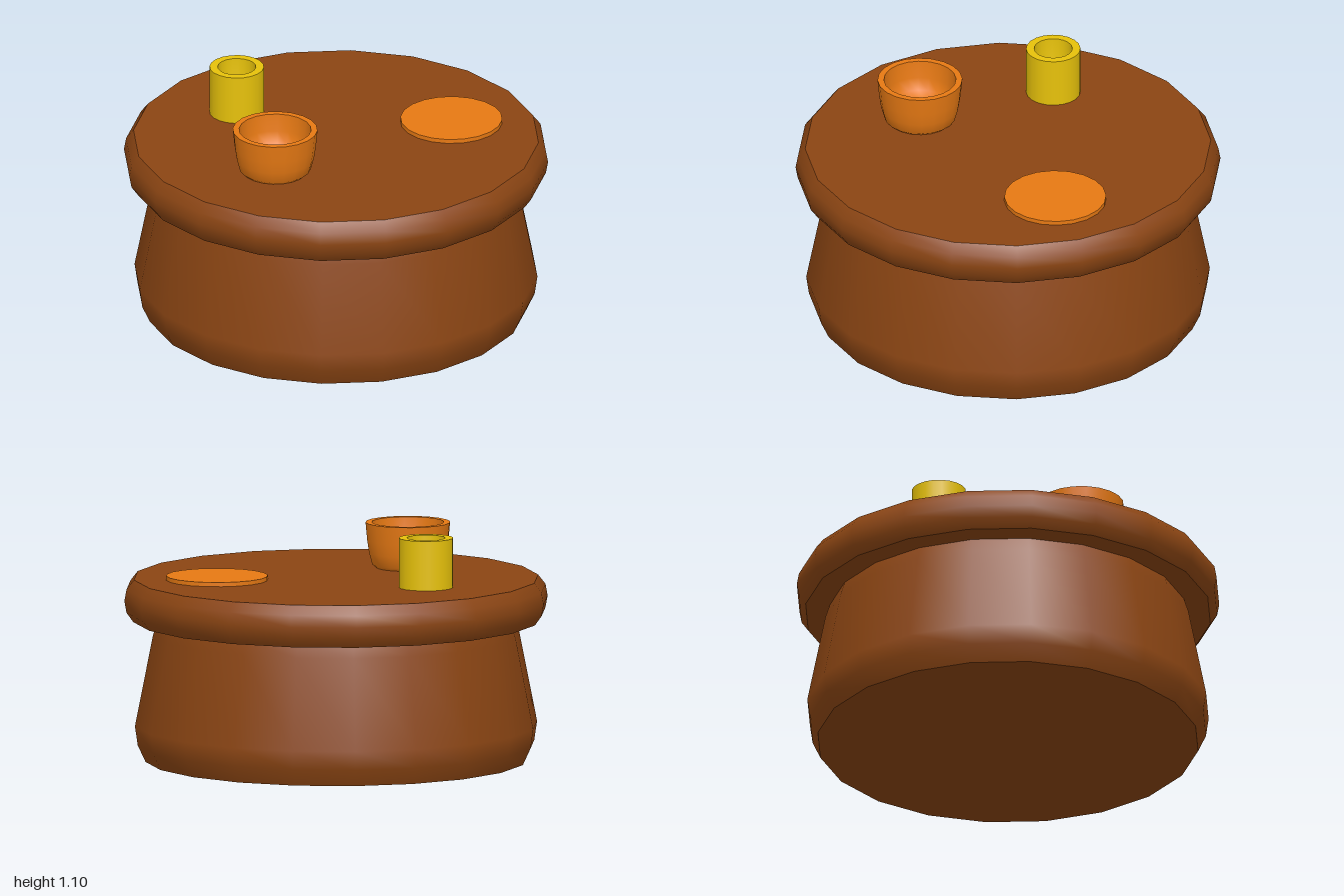
import * as THREE from 'three';

const SIDES = 20;

// Turned part: [radius, height, sharp] points from bottom to top; sharp points are doubled for a hard edge
function turned(name, material, profile, x = 0, z = 0, y = 0) {
  const points = [];
  for (const [r, h, sharp] of profile) {
    points.push(new THREE.Vector2(r, h));
    if (sharp) points.push(new THREE.Vector2(r, h));
  }
  const mesh = new THREE.Mesh(new THREE.LatheGeometry(points, SIDES), material);
  mesh.name = name;
  mesh.position.set(x, y, z);
  return mesh;
}

function flat(name, hex) {
  const material = new THREE.MeshStandardMaterial({ color: hex });
  material.name = name;
  return material;
}

export function createModel() {
  const group = new THREE.Group();
  group.name = 'roundTable';
  const wood = flat('dark wood', 0x8b4513);
  const clay = flat('orange clay', 0xec7c14);
  const gold = flat('yellow', 0xfad20c);
  const topY = 0.865;

  // Tapered drum base
  group.add(turned('base', wood, [
    [0, 0], [0.9, 0, true], [0.937, 0.08], [0.95, 0.17], [0.865, 0.6], [0.842, 0.67, true], [0, 0.67],
  ]));

  // Overhanging top with a rounded rim
  group.add(turned('tableTop', wood, [
    [0, 0.665], [0.958, 0.665, true], [0.99, 0.71], [1, 0.765], [0.99, 0.82], [0.955, topY, true], [0, topY],
  ]));

  // Hollow bowl
  group.add(turned('bowl', clay, [
    [0, 0], [0.15, 0, true], [0.168, 0.015], [0.183, 0.07], [0.192, 0.13], [0.2, 0.215, true],
    [0.17, 0.215, true], [0.163, 0.13], [0.148, 0.07], [0.11, 0.035], [0, 0.025],
  ], -0.445, 0.175, topY));

  // Hollow cup
  group.add(turned('cup', gold, [
    [0, 0], [0.128, 0, true], [0.128, 0.235, true], [0.09, 0.235, true],
    [0.088, 0.08], [0.065, 0.04], [0, 0.025],
  ], -0.255, -0.475, topY));

  // Flat plate
  group.add(turned('plate', clay, [
    [0, 0], [0.24, 0, true], [0.24, 0.02, true], [0, 0.02],
  ], 0.545, 0.15, topY));

  return group;
}
